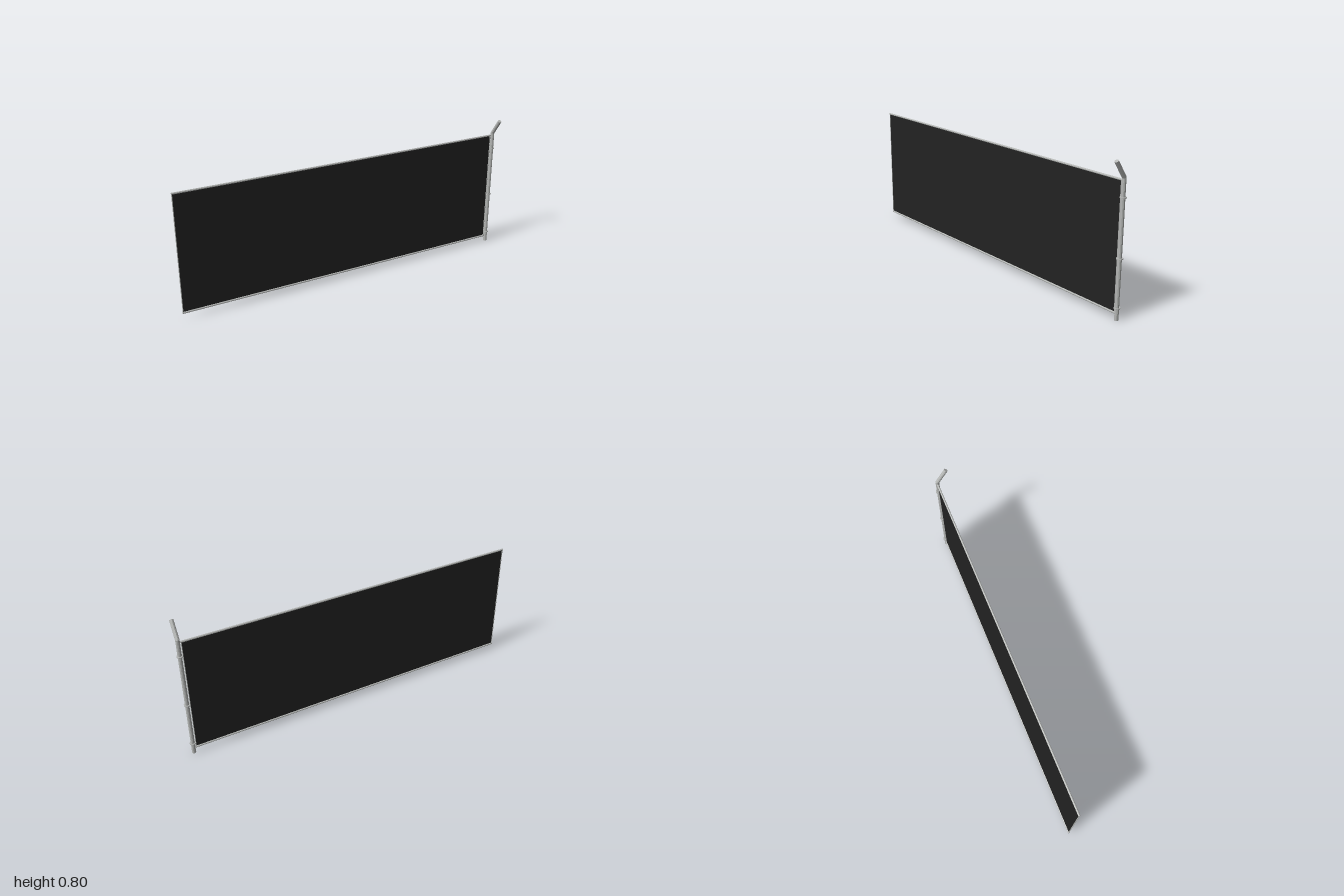
import * as THREE from 'three';

export function createModel() {
  const model = new THREE.Group();
  model.name = 'fenceSection';

  const steel = new THREE.MeshStandardMaterial({ color: 0xb4b6b4, flatShading: true });
  steel.name = 'galvanised steel';
  const dark = new THREE.MeshStandardMaterial({ color: 0x222222, side: THREE.DoubleSide });
  dark.name = 'dark mesh panel';

  const add = (name, geometry, material, x, y, z) => {
    const mesh = new THREE.Mesh(geometry, material);
    mesh.name = name;
    mesh.position.set(x, y, z);
    model.add(mesh);
    return mesh;
  };

  const postX = 0.983, postZ = -0.0235, panelZ = -0.025;
  const left = -0.997, right = 0.967, low = 0.034, high = 0.695;
  const midX = (left + right) / 2, midY = (low + high) / 2;

  // Post with a mitred bend leaning forward at the top
  const bendY = 0.709, tipY = 0.794, tipZ = 0.0575;
  const lean = Math.atan2(tipZ, tipY - bendY);
  const post = new THREE.CylinderGeometry(0.0108, 0.0108, 1, 10, 2);
  const p = post.attributes.position;
  for (let i = 0; i < p.count; i++) {
    const y = p.getY(i), z = p.getZ(i);
    if (y < -0.25) p.setY(i, 0);
    else if (y < 0.25) p.setY(i, bendY - z * Math.tan(lean / 2));
    else {
      p.setY(i, tipY - z * Math.sin(lean));
      p.setZ(i, tipZ + z * Math.cos(lean));
    }
  }
  post.computeVertexNormals();
  add('post', post, steel, postX, 0, postZ);

  // Clamp rings around the post
  for (const y of [0.063, 0.316, 0.614]) {
    add('clampRing', new THREE.CylinderGeometry(0.0168, 0.0168, 0.005, 12), steel, postX, y, postZ);
  }

  // Panel infill
  add('panel', new THREE.PlaneGeometry(right - left, high - low), dark, midX, midY, panelZ);

  // Top and bottom rails
  for (const [name, y] of [['topRail', high], ['bottomRail', low]]) {
    const rail = add(name, new THREE.CylinderGeometry(0.0055, 0.0055, 1.972, 8), steel, -0.014, y, panelZ);
    rail.rotation.z = Math.PI / 2;
  }

  // Thin upright edge bars
  for (const [name, x] of [['outerEdgeBar', left - 0.0005], ['postEdgeBar', right]]) {
    add(name, new THREE.CylinderGeometry(0.0025, 0.0025, high - low, 6), steel, x, midY, panelZ);
  }

  return model;
}
